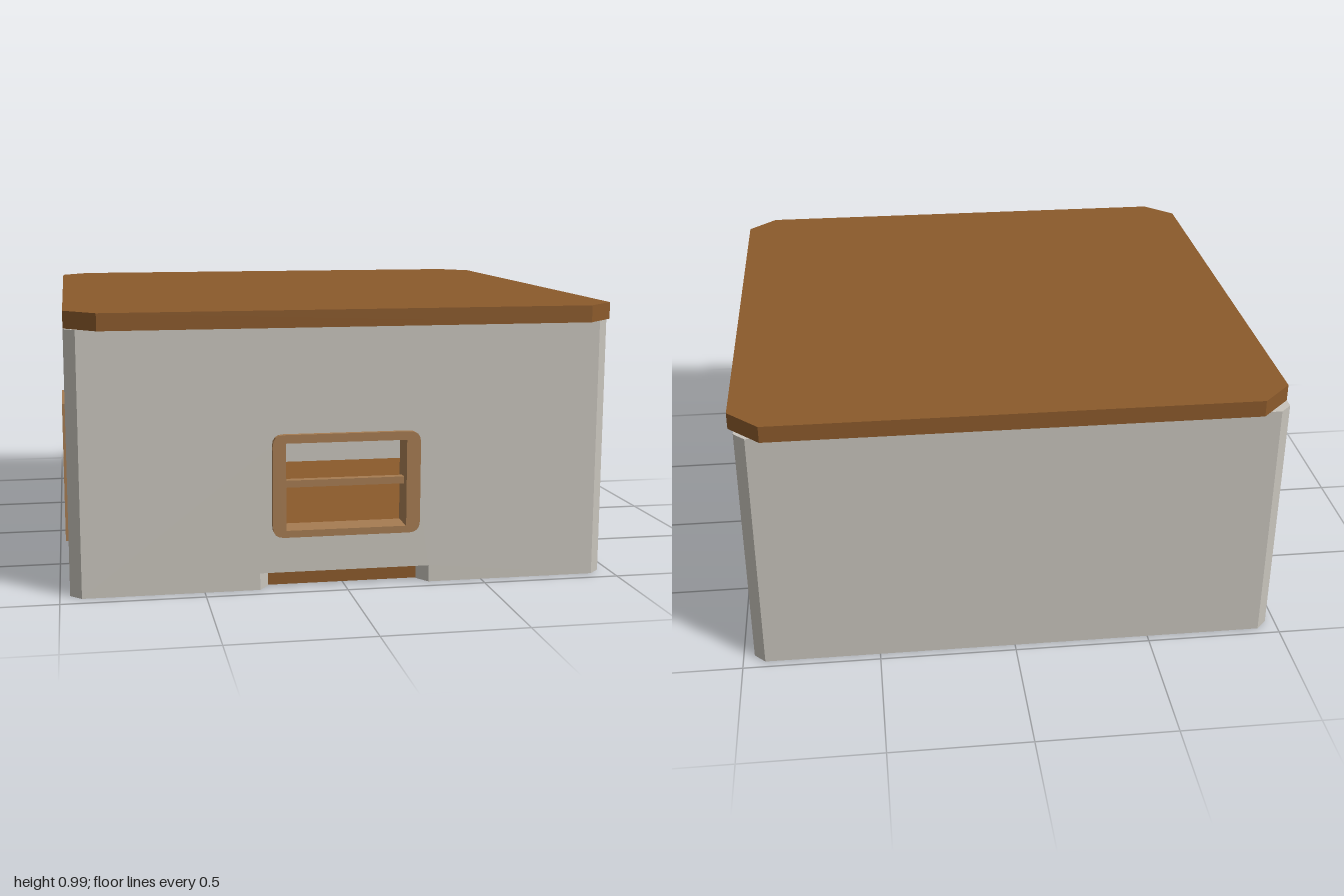
import * as THREE from 'three';

const mat = (name, color) => Object.assign(new THREE.MeshStandardMaterial({ color }), { name });

// Overall wall limits
const X0 = -0.965, X1 = 0.96, Z0 = -0.97, Z1 = 0.95, H = 0.93;
const T = 0.05, C = 0.04;

const poly = (pts, Type = THREE.Shape) => new Type(pts.map(([x, y]) => new THREE.Vector2(x, y)));
const rect = (a, b, c, d, Type) => poly([[a, b], [c, b], [c, d], [a, d]], Type);

// Upright slab: outline in (u, y), thickness running from n0 to n1
function slab(shape, n0, n1) {
  return new THREE.ExtrudeGeometry(shape, { depth: n1 - n0, bevelEnabled: false, curveSegments: 4 }).translate(0, 0, n0);
}

// Horizontal prism: outline in (x, z), running from y0 to y1
function prism(pts, y0, y1) {
  const shape = poly(pts.map(([x, z]) => [x, -z]));
  return slab(shape, y0, y1).rotateX(-Math.PI / 2);
}

function box(x0, x1, y0, y1, z0, z1) {
  return new THREE.BoxGeometry(x1 - x0, y1 - y0, z1 - z0)
    .translate((x0 + x1) / 2, (y0 + y1) / 2, (z0 + z1) / 2);
}

function roundedRect(x0, y0, x1, y1, r) {
  const s = new THREE.Shape();
  s.moveTo(x0 + r, y0).lineTo(x1 - r, y0).quadraticCurveTo(x1, y0, x1, y0 + r);
  s.lineTo(x1, y1 - r).quadraticCurveTo(x1, y1, x1 - r, y1);
  s.lineTo(x0 + r, y1).quadraticCurveTo(x0, y1, x0, y1 - r);
  s.lineTo(x0, y0 + r).quadraticCurveTo(x0, y0, x0 + r, y0);
  return s;
}

export function createModel() {
  const plaster = mat('plaster', 0xc8c4bc);
  const darkWood = mat('darkWood', 0x8b5a2b);
  const lightWood = mat('lightWood', 0xa67c52);

  const house = new THREE.Group();
  house.name = 'house';
  const add = (name, geometry, material) => {
    const mesh = new THREE.Mesh(geometry, material);
    mesh.name = name;
    house.add(mesh);
  };

  // Front wall with a window hole and a low slot at the floor
  const front = poly([
    [X0 + C, 0], [-0.305, 0], [-0.305, 0.06], [0.305, 0.06], [0.305, 0], [X1 - C, 0], [X1 - C, H], [X0 + C, H],
  ]);
  front.holes.push(rect(-0.235, 0.205, 0.235, 0.535, THREE.Path));
  add('frontWall', slab(front, Z1 - T, Z1), plaster);

  // Splayed cheeks of the slot
  const zi = Z1 - T;
  add('slotCheekLeft', prism([[0.305, Z1], [0.305, zi], [0.27, zi]], 0, 0.06), plaster);
  add('slotCheekRight', prism([[-0.305, Z1], [-0.27, zi], [-0.305, zi]], 0, 0.06), plaster);

  // Wall with the doorway
  const d0 = -0.2, d1 = 0.17, dTop = 0.555, dw = 0.055;
  const side = poly([
    [Z0 + C, 0], [d0 + 0.03, 0], [d0 + 0.03, dTop - 0.03], [d1 - 0.03, dTop - 0.03], [d1 - 0.03, 0],
    [Z1 - C, 0], [Z1 - C, H], [Z0 + C, H],
  ]);
  add('doorWall', slab(side, -X0 - T, -X0).rotateY(-Math.PI / 2), plaster);

  // Plain walls
  add('backWall', box(X0 + C, X1 - C, 0, H, Z0, Z0 + T), plaster);
  add('leftWall', box(X1 - T, X1, 0, H, Z0 + C, Z1 - C), plaster);

  // Chamfered corner posts
  for (const [x, sx] of [[X0, 1], [X1, -1]]) {
    for (const [z, sz] of [[Z0, 1], [Z1, -1]]) {
      add('cornerPost', prism([[x + sx * C, z], [x, z + sz * C], [x + sx * C, z + sz * C]], 0, H), plaster);
    }
  }

  // Floor slab
  add('floor', box(X0 + T, X1 - T, 0.002, 0.06, Z0 + T, Z1 - T), darkWood);

  // Flat roof with cut corners
  const a = -0.965, b = 0.98, k = 0.11;
  add('roof', prism([
    [a + k, -1], [b - k, -1], [b, -1 + k], [b, 1 - k], [b - k, 1], [a + k, 1], [a, 1 - k], [a, -1 + k],
  ], H, 0.99), darkWood);

  // Window frame and crossbar
  const frame = roundedRect(-0.262, 0.19, 0.265, 0.555, 0.04);
  frame.holes.push(rect(-0.215, 0.215, 0.215, 0.525, THREE.Path));
  add('windowFrame', slab(frame, 0.865, 0.97), lightWood);
  add('windowBar', box(-0.215, 0.215, 0.36, 0.385, 0.9, 0.93), lightWood);

  // Door frame
  const door = poly([
    [d0, 0], [d0 + dw, 0], [d0 + dw, dTop - dw], [d1 - dw, dTop - dw], [d1 - dw, 0], [d1, 0], [d1, dTop], [d0, dTop],
  ]);
  add('doorFrame', slab(door, 0.875, 0.98).rotateY(-Math.PI / 2), lightWood);

  return house;
}
